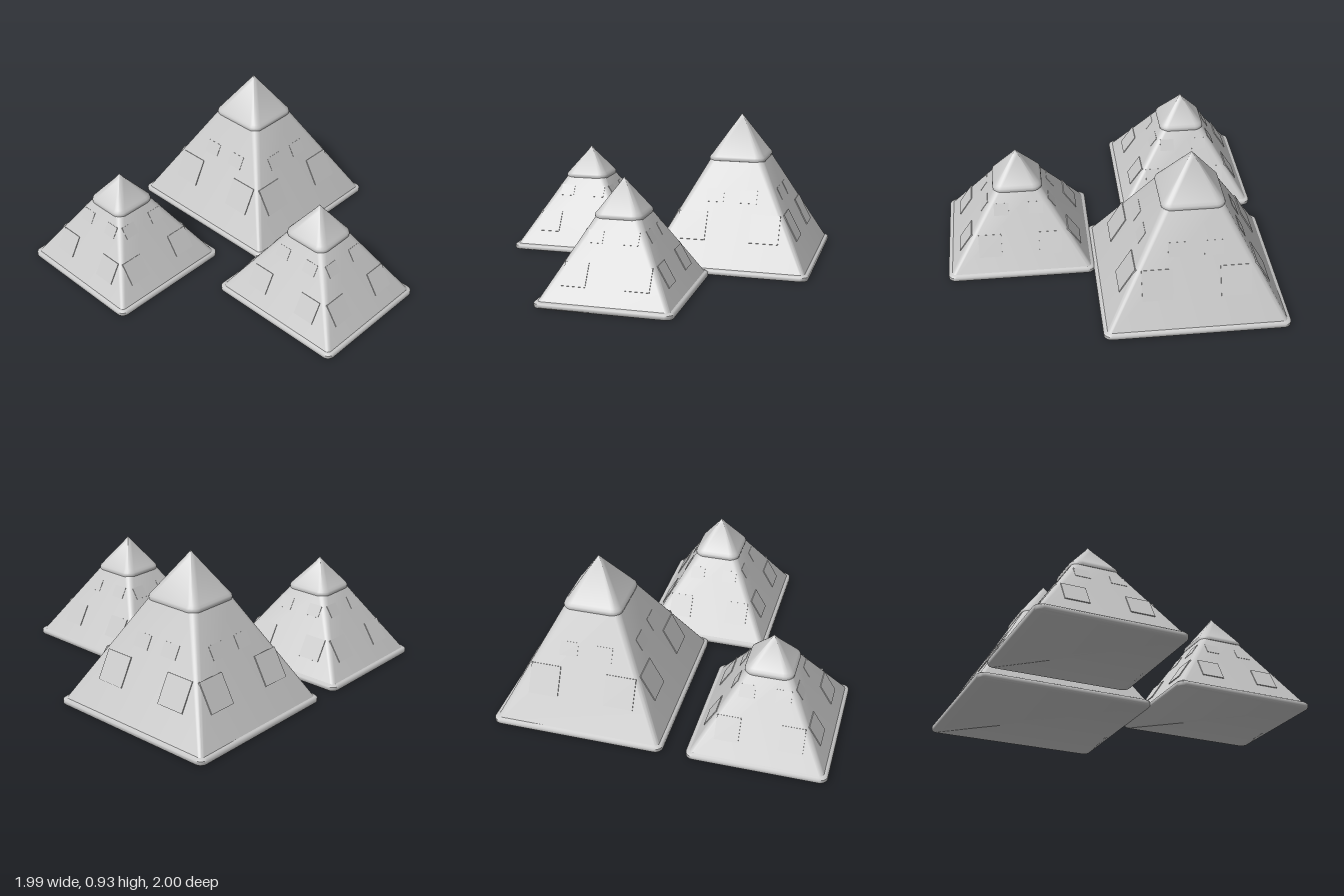
import * as THREE from 'three';
import { toCreasedNormals } from 'three/addons/utils/BufferGeometryUtils.js';

const stone = new THREE.MeshStandardMaterial({ color: 0xc8c8c8 });
stone.name = 'stone';

// Skin a stack of rounded rectangles, each [y, halfX, halfZ, cornerRadius]
function loft(rings, crease = 0.5) {
  const steps = 5, n = 4 * (steps + 1), pos = [], idx = [];
  for (const [y, hx, hz, r] of rings) {
    for (let q = 0; q < 4; q++) {
      const sx = q === 0 || q === 3 ? 1 : -1, sz = q < 2 ? 1 : -1;
      for (let s = 0; s <= steps; s++) {
        const a = (q + s / steps) * Math.PI / 2;
        pos.push(sx * (hx - r) + r * Math.cos(a), y, sz * (hz - r) + r * Math.sin(a));
      }
    }
  }
  for (let k = 0; k < rings.length - 1; k++) {
    for (let i = 0; i < n; i++) {
      const a = k * n + i, b = k * n + (i + 1) % n;
      idx.push(a, a + n, b, b, a + n, b + n);
    }
  }
  // close both ends
  const top = (rings.length - 1) * n;
  for (let i = 1; i < n - 1; i++) {
    idx.push(0, i, i + 1, top, top + i + 1, top + i);
  }
  const g = new THREE.BufferGeometry();
  g.setAttribute('position', new THREE.Float32BufferAttribute(pos, 3));
  g.setIndex(idx);
  return toCreasedNormals(g, crease);
}

function add(parent, geometry, name) {
  const mesh = new THREE.Mesh(geometry, stone);
  mesh.name = name;
  parent.add(mesh);
  return mesh;
}

function pyramid({ name, x, z, hx, hz, capY, capX, capZ, apex, blocks }) {
  const g = new THREE.Group();
  g.name = name;
  g.position.set(x, 0, z);
  const bx = hx - 0.02, bz = hz - 0.02, y0 = 0.03;
  const tx = capX - 0.012, tz = capZ - 0.012;

  // rounded plinth
  add(g, loft([
    [0, hx - 0.005, hz - 0.005, 0.04], [0.006, hx, hz, 0.045],
    [0.026, hx, hz, 0.045], [0.035, hx - 0.01, hz - 0.01, 0.04],
  ], 0.9), 'plinth');

  // sloping body
  add(g, loft([[y0, bx, bz, 0.025], [capY, tx, tz, 0.04]]), 'body');

  // capstone with a rounded overhanging rim
  add(g, loft([
    [capY - 0.016, capX - 0.014, capZ - 0.014, 0.05],
    [capY - 0.012, capX - 0.003, capZ - 0.003, 0.055],
    [capY, capX, capZ, 0.06],
    [capY + 0.012, capX - 0.004, capZ - 0.004, 0.055],
    [capY + 0.025, capX - 0.016, capZ - 0.016, 0.045],
    [apex - 0.03, 0.022, 0.022, 0.01],
    [apex, 0.001, 0.001, 0.0005],
  ], 0.7), 'capstone');

  // slightly raised blocks, the same set on all four faces
  for (let f = 0; f < 4; f++) {
    const face = new THREE.Group();
    face.name = 'faceBlocks';
    face.rotation.y = f * Math.PI / 2;
    g.add(face);
    const [base, top] = f % 2 ? [bx, tx] : [bz, tz];
    const lean = Math.atan2(base - top, capY - y0);
    for (const [inner, outer, low, high, lift] of blocks) {
      for (const side of [-1, 1]) {
        const y = (low + high) / 2;
        const d = base - (base - top) * (y - y0) / (capY - y0);
        const box = new THREE.BoxGeometry(outer - inner, (high - low) / Math.cos(lean), lift * 2);
        const m = add(face, box, 'block');
        m.position.set(side * (inner + outer) / 2, y, d);
        m.rotation.x = -lean;
      }
    }
  }
  return g;
}

export function createModel() {
  const model = new THREE.Group();
  model.name = 'pyramids';
  // blocks: [inner, outer, bottom, top, lift]
  const small = [[0.115, 0.255, 0.12, 0.24, 0.005], [0.06, 0.15, 0.34, 0.405, 0.002]];
  model.add(
    pyramid({
      name: 'largePyramid', x: -0.447, z: -0.48, hx: 0.55, hz: 0.52,
      capY: 0.66, capX: 0.188, capZ: 0.18, apex: 0.93,
      blocks: [[0.14, 0.32, 0.19, 0.35, 0.006], [0.05, 0.16, 0.41, 0.485, 0.002]],
    }),
    pyramid({
      name: 'rightPyramid', x: 0.547, z: 0.005, hx: 0.45, hz: 0.405,
      capY: 0.475, capX: 0.152, capZ: 0.145, apex: 0.68, blocks: small,
    }),
    pyramid({
      name: 'frontPyramid', x: -0.565, z: 0.588, hx: 0.432, hz: 0.41,
      capY: 0.463, capX: 0.145, capZ: 0.145, apex: 0.65, blocks: small,
    }),
  );
  return model;
}
